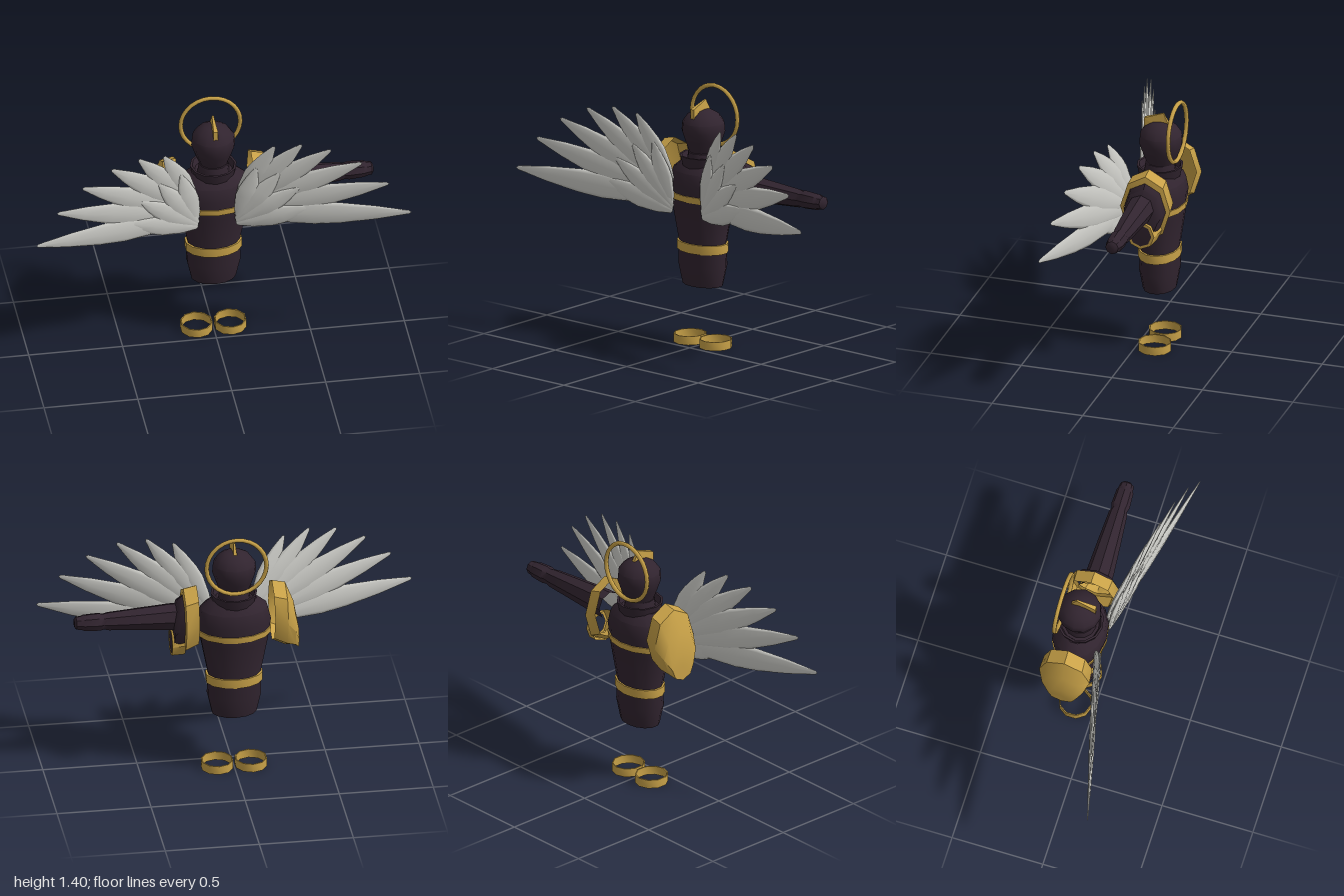
import * as THREE from 'three';
import { toCreasedNormals } from 'three/addons/utils/BufferGeometryUtils.js';

const Z = -0.105; // depth of the body axis

function material(name, color, side = THREE.FrontSide) {
  const m = new THREE.MeshStandardMaterial({ color, side });
  m.name = name;
  return m;
}

// Lathe from [radius, height] pairs with sharp edges kept
function lathe(points, sides) {
  const g = new THREE.LatheGeometry(points.map(([r, y]) => new THREE.Vector2(r, y)), sides);
  return toCreasedNormals(g, 0.7);
}

// Skin through elliptical sections [x, yCentre, zCentre, yRadius, zRadius] along +x
function loftX(sections, sides = 8) {
  const pos = [], index = [];
  for (const [x, yc, zc, ry, rz] of sections) {
    for (let j = 0; j < sides; j++) {
      const a = (j / sides) * Math.PI * 2;
      pos.push(x, yc + Math.cos(a) * ry, zc + Math.sin(a) * rz);
    }
  }
  for (let i = 0; i < sections.length - 1; i++) {
    for (let j = 0; j < sides; j++) {
      const k = (j + 1) % sides, a = i * sides, b = a + sides;
      index.push(a + j, a + k, b + j, a + k, b + k, b + j);
    }
  }
  const g = new THREE.BufferGeometry();
  g.setAttribute('position', new THREE.Float32BufferAttribute(pos, 3));
  g.setIndex(index);
  return toCreasedNormals(g, 0.75);
}

export function createModel() {
  const model = new THREE.Group();
  const dark = material('dark plum', 0x31242f);
  const gold = material('gold', 0xc9a248, THREE.DoubleSide);
  const silver = material('feather grey', 0xcfcfca);

  function add(name, geometry, mat, parent = model) {
    const mesh = new THREE.Mesh(geometry, mat);
    mesh.name = name;
    parent.add(mesh);
    return mesh;
  }

  // Tapered oval torso, collar and head
  const torso = add('torso', lathe([[0, 0.33], [0.12, 0.33], [0.145, 0.44], [0.141, 0.56],
    [0.18, 0.76], [0.197, 0.88], [0.18, 0.95], [0.12, 1.0], [0, 1.0]], 14), dark);
  torso.scale.z = 0.73;
  torso.position.z = Z;
  const collar = add('collar', lathe([[0.1, 0.94], [0.124, 1.035], [0.112, 1.035], [0.1, 1.0], [0, 1.0]], 12), dark);
  collar.position.z = Z;
  const neck = add('neck', lathe([[0.085, 0.95], [0.085, 1.0], [0.078, 1.05], [0, 1.07]], 12), dark);
  neck.position.z = Z;
  const head = add('head', lathe([[0, 1.05], [0.075, 1.05], [0.1, 1.115], [0.117, 1.165],
    [0.113, 1.21], [0.085, 1.25], [0.045, 1.274], [0, 1.28]], 12), dark);
  head.position.z = -0.11;

  // Gold bands around the torso
  for (const [name, y0, y1, r0, r1] of [['waistBand', 0.515, 0.565, 0.152, 0.153],
    ['chestBand', 0.798, 0.832, 0.194, 0.198]]) {
    const band = add(name, lathe([[r0 - 0.02, y0], [r0, y0], [r1, y1], [r1 - 0.02, y1]], 14), gold);
    band.scale.z = 0.73;
    band.position.z = Z;
  }

  // Crest blade, drawn in side profile and extruded across x
  const blade = new THREE.Shape([[0.02, 1.22], [0.02, 1.292], [0.125, 1.33], [0.165, 1.25], [0.14, 1.22]]
    .map(([x, y]) => new THREE.Vector2(x, y)));
  const crest = new THREE.ExtrudeGeometry(blade, { depth: 0.024, bevelEnabled: false });
  crest.translate(0, 0, -0.012).rotateY(Math.PI / 2);
  const p = crest.attributes.position;
  for (let i = 0; i < p.count; i++) if (p.getY(i) > 1.3) p.setX(i, p.getX(i) * 0.35);
  crest.computeVertexNormals();
  add('crest', crest, gold);

  // Halo behind the head
  const halo = add('halo', new THREE.TorusGeometry(0.159, 0.012, 6, 28), gold);
  halo.position.set(0, 1.229, -0.2);

  // Shoulder guards: gold shell on the right, dark with gold rims on the left
  const rim = [0.2, 0.915, -0.11, 0.175, 0.132];
  const shell = [0.27, 0.89, -0.11, 0.185, 0.138];
  const bulge = [0.315, 0.83, -0.108, 0.13, 0.112];
  const end = [0.337, 0.765, -0.105, 0.078, 0.075];
  const endCap = [0.337, 0.765, -0.105, 0, 0];
  add('rightShoulderGuard', loftX([rim, shell, bulge, end, endCap]), gold).scale.x = -1;
  const left = new THREE.Group();
  left.name = 'leftShoulderGuard';
  model.add(left);
  add('shoulderRim', loftX([rim, shell, [0.275, 0.89, -0.11, 0.15, 0.115]]), gold, left);
  add('shoulderDome', loftX([[0.26, 0.89, -0.11, 0.155, 0.118], [0.3, 0.88, -0.11, 0.135, 0.108],
    [0.325, 0.84, -0.108, 0.095, 0.085], [0.33, 0.8, -0.108, 0, 0]]), dark, left);
  add('lowerRim', loftX([[0.27, 0.785, -0.105, 0.09, 0.1], end, [0.337, 0.765, -0.105, 0.062, 0.06]]), gold, left);
  add('lowerCap', loftX([[0.335, 0.765, -0.105, 0.064, 0.062], [0.336, 0.765, -0.105, 0, 0]]), dark, left);

  // Outstretched left arm, pinched at the wrist
  add('leftArm', loftX([[0.24, 0.91, -0.1, 0.075, 0.075], [0.34, 0.91, -0.1, 0.074, 0.072],
    [0.5, 0.912, -0.104, 0.062, 0.062], [0.67, 0.913, -0.108, 0.05, 0.05], [0.695, 0.913, -0.108, 0.044, 0.043],
    [0.72, 0.914, -0.109, 0.049, 0.05], [0.8, 0.915, -0.11, 0.044, 0.046], [0.815, 0.915, -0.11, 0.038, 0.04],
    [0.84, 0.916, -0.11, 0.036, 0.036], [0.85, 0.916, -0.11, 0.022, 0.022], [0.85, 0.916, -0.11, 0, 0]]), dark);

  // Feather blade of unit length, laid from root to tip
  const featherProfile = [[0, 0], [0.25, 0.02], [0.7, 0.2], [1, 0.45], [0.92, 0.6], [0.6, 0.8], [0.16, 0.985], [0, 1]];
  const featherGeometry = new THREE.LatheGeometry(featherProfile.map(([r, y]) => new THREE.Vector2(r, y)), 8);
  function feather(name, root, tip, width, side, parent) {
    const a = new THREE.Vector3(...root), b = new THREE.Vector3(...tip);
    a.x *= side;
    b.x *= side;
    const dir = b.clone().sub(a), length = dir.length();
    dir.normalize();
    const across = dir.clone().cross(new THREE.Vector3(-0.22 * side, 0, 1)).normalize();
    const normal = across.clone().cross(dir);
    const mesh = add(name, featherGeometry, silver, parent);
    mesh.quaternion.setFromRotationMatrix(new THREE.Matrix4().makeBasis(across, dir, normal));
    mesh.position.copy(a);
    mesh.scale.set(width, length, 0.014);
  }

  // Long flight feathers and short coverts: root x, y, z, tip x, y, z, half width
  const flight = [
    [0.09, 0.79, 0.015, 1.0, 0.855, 0.245, 0.07],
    [0.1, 0.81, 0.013, 0.885, 1.03, 0.215, 0.07],
    [0.11, 0.83, 0.011, 0.745, 1.155, 0.185, 0.068],
    [0.11, 0.85, 0.009, 0.585, 1.235, 0.155, 0.064],
    [0.11, 0.87, 0.007, 0.435, 1.262, 0.122, 0.06],
    [0.11, 0.88, 0.005, 0.295, 1.245, 0.09, 0.056],
  ];
  const coverts = [
    [0.1, 0.73, 0.02, 0.5, 0.86, 0.125, 0.06],
    [0.1, 0.74, 0.02, 0.42, 0.98, 0.11, 0.06],
    [0.1, 0.75, 0.02, 0.32, 1.07, 0.09, 0.058],
    [0.11, 0.75, 0.02, 0.2, 1.1, 0.065, 0.056],
  ];
  for (const [name, side] of [['leftWing', 1], ['rightWing', -1]]) {
    const wing = new THREE.Group();
    wing.name = name;
    model.add(wing);
    for (const f of flight) feather('flightFeather', f.slice(0, 3), f.slice(3, 6), f[6], side, wing);
    for (const f of coverts) feather('covertFeather', f.slice(0, 3), f.slice(3, 6), f[6], side, wing);
  }

  // Pair of thin open anklets at ground level
  for (const [name, x] of [['leftAnklet', 0.09], ['rightAnklet', -0.09]]) {
    const anklet = add(name, lathe([[0.08, 0], [0.086, 0], [0.086, 0.047], [0.08, 0.047], [0.08, 0]], 10), gold);
    anklet.position.set(x, 0, Z);
    anklet.scale.z = 1.04;
  }

  return model;
}
